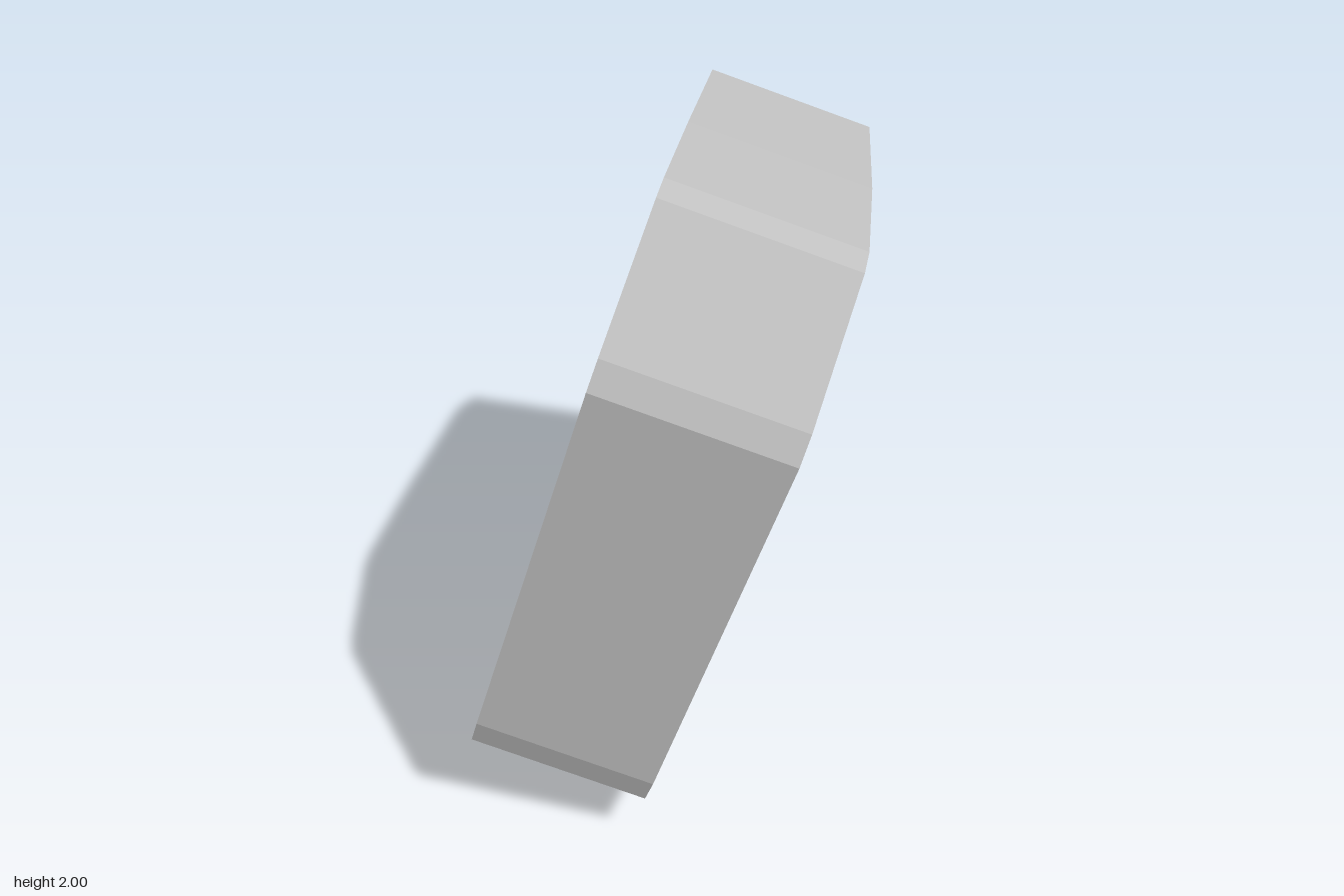
import * as THREE from 'three';

export function createModel() {
  const group = new THREE.Group();
  group.name = 'tiltedSlab';
  const grey = new THREE.MeshStandardMaterial({ color: 0xbfbfbf, flatShading: true });
  grey.name = 'plain grey';

  // Outline of the slab's broad face as (z, y), running around the rounded corners
  const outline = [
    [0.957, 1.44], [0.927, 1.515], [0.672, 1.812], [0.6, 1.836], [0.16, 1.831],
    [-0.53, 1.774], [-0.605, 1.733], [-0.728, 1.643], [-0.766, 1.588], [-0.795, 1.523],
    [-0.847, 0.88], [-0.787, 0.21], [-0.76, 0.155], [-0.68, 0.13], [-0.41, 0.085],
    [0.35, 0], [0.797, 0.2], [0.829, 0.29],
  ];
  const shape = new THREE.Shape(outline.map(([z, y]) => new THREE.Vector2(-z, y)));
  const geometry = new THREE.ExtrudeGeometry(shape, { depth: 1, bevelEnabled: false });

  // Lay the face on the plane x = a + b*y + c*z and extrude along its normal
  const a = -0.055, b = 0.331, c = -0.213, d = 0.5;
  geometry.applyMatrix4(new THREE.Matrix4().set(
    -c, b, d, a - d,
    0, 1, -b * d, b * d,
    -1, 0, -c * d, c * d,
    0, 0, 0, 1,
  ));
  geometry.computeVertexNormals();

  const slab = new THREE.Mesh(geometry, grey);
  slab.name = 'slab';
  group.add(slab);
  return group;
}
